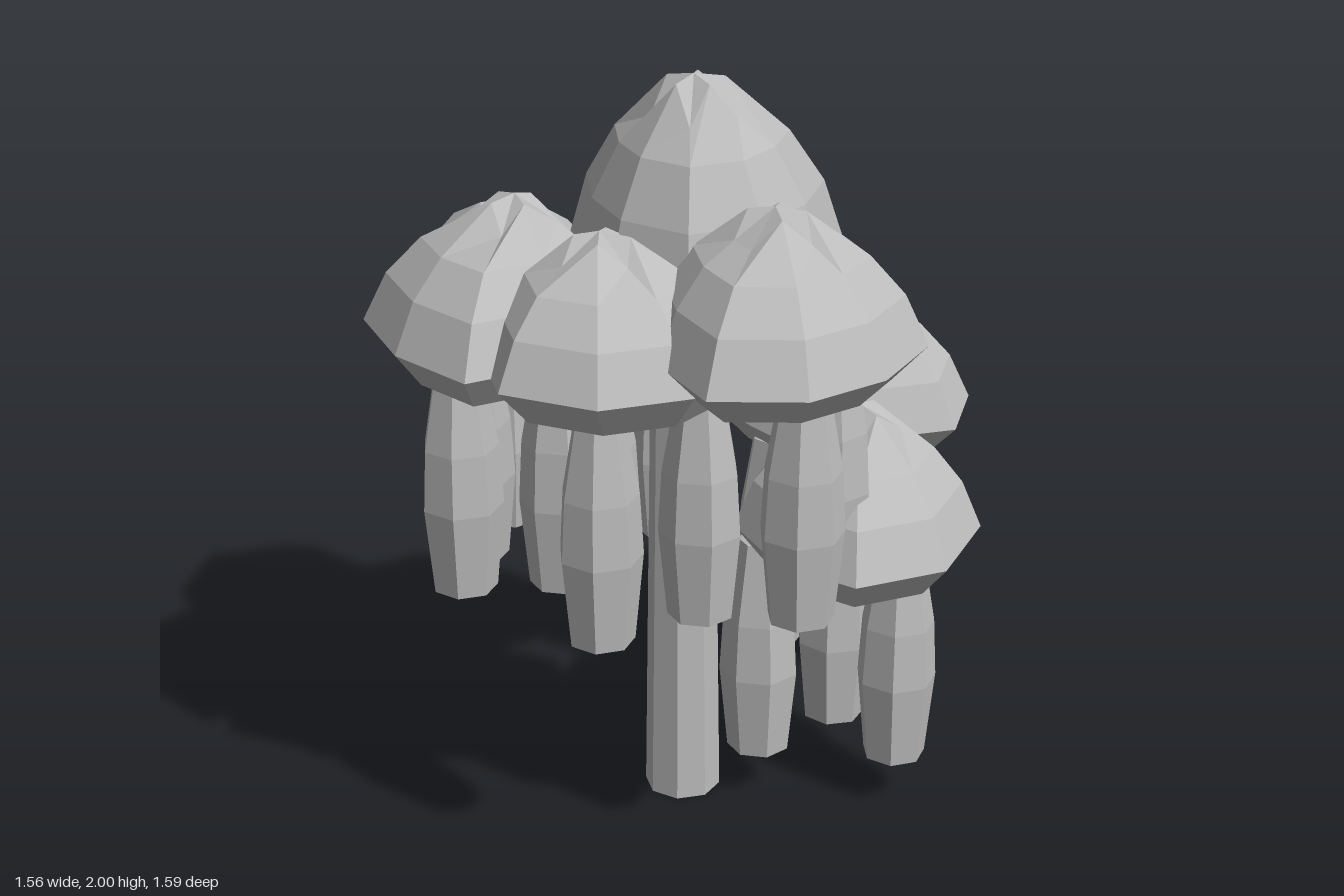
import * as THREE from 'three';

const grey = new THREE.MeshStandardMaterial({ color: 0xbcbcbc, flatShading: true });
grey.name = 'stoneGrey';

// Faceted cap: a wobbly oval rim, drawn in below to a flat base and above to a puckered peak
function capGeometry({ centre: [cx, cz], radius: [rx, rz], start, sides, base, brim = 0.095, wave = 1.9, peak }) {
  const [px, py, pz] = peak;
  const rimY = base + brim;
  const rise = py - rimY;
  // each ring: scale and height by corner, and how far it leans towards the peak
  const ring = (scale, y, lean) => Array.from({ length: sides }, (_, i) => {
    const angle = start + (i / sides) * Math.PI * 2;
    const k = scale(i) * (1 + 0.08 * Math.cos(wave * i));
    return [
      cx + Math.sin(angle) * rx * k + (px - cx) * lean,
      y(i),
      cz + Math.cos(angle) * rz * k + (pz - cz) * lean,
    ];
  });
  const rings = [
    ring(() => 0, () => base, 0),
    ring(() => 0.76, () => base, 0),
    ring(() => 1, () => rimY, 0),
    ring(() => 0.84, () => rimY + rise * 0.38, 0.15),
    ring(() => 0.61, () => rimY + rise * 0.66, 0.4),
    // alternating heights make the creases round the peak
    ring((i) => (i % 2 ? 0.2 : 0.34), (i) => rimY + rise * (i % 2 ? 0.97 : 0.8), 0.85),
    ring(() => 0, () => py, 1),
  ];
  const corners = [];
  const last = rings.length - 2;
  for (let r = 0; r <= last; r++) {
    for (let i = 0; i < sides; i++) {
      const j = (i + 1) % sides;
      const a = rings[r][i], b = rings[r][j], c = rings[r + 1][j], d = rings[r + 1][i];
      if (r > 0) corners.push(...a, ...b, ...c);
      if (r < last) corners.push(...a, ...c, ...d);
    }
  }
  const geometry = new THREE.BufferGeometry();
  geometry.setAttribute('position', new THREE.Float32BufferAttribute(corners, 3));
  geometry.computeVertexNormals();
  return geometry;
}

// Hanging stem: a narrow faceted column, widest below the middle
const stemGeometry = new THREE.LatheGeometry([
  [0, 0], [0.083, 0], [0.105, 0.23], [0.096, 0.39], [0.058, 0.61], [0, 0.63],
].map(([r, y]) => new THREE.Vector2(r, y)), 7);

// Each cap with the x, z places of its stems
const clusters = [
  { name: 'top', centre: [0.05, 0.05], radius: [0.35, 0.36], start: 0.05, sides: 10,
    base: 1.35, brim: 0.14, peak: [0.04, 2, 0.13], stems: [] },
  { name: 'frontRight', centre: [0.29, 0.44], radius: [0.33, 0.345], start: -0.37, sides: 9,
    base: 1.35, brim: 0.085, peak: [0.27, 1.77, 0.4], stems: [[0.36, 0.54], [0.4, 0.28]] },
  { name: 'frontMiddle', centre: [-0.1, 0.43], radius: [0.32, 0.32], start: -0.77, sides: 8,
    base: 1.28, peak: [-0.15, 1.68, 0.38], stems: [[-0.12, 0.59], [0.1, 0.42]] },
  { name: 'frontLeft', centre: [-0.43, 0.27], radius: [0.31, 0.335], start: -1.57, sides: 8,
    base: 1.28, wave: Math.PI, peak: [-0.39, 1.7, 0.2], stems: [[-0.51, 0.36], [-0.27, 0.3]] },
  { name: 'backLeft', centre: [-0.49, -0.2], radius: [0.32, 0.32], start: -2.2, sides: 7,
    base: 1.16, peak: [-0.49, 1.56, -0.14], stems: [[-0.57, -0.06], [-0.53, -0.29]] },
  { name: 'backMiddle', centre: [-0.05, -0.22], radius: [0.36, 0.32], start: -2.93, sides: 9,
    base: 1.07, peak: [-0.02, 1.48, -0.29], stems: [[-0.25, -0.15], [-0.12, -0.46]] },
  { name: 'backRight', centre: [0.37, -0.45], radius: [0.35, 0.33], start: 0.99, sides: 9,
    base: 0.84, peak: [0.36, 1.25, -0.45], stems: [[0.45, -0.57], [0.2, -0.55], [0.2, -0.29]] },
  { name: 'lowerRight', centre: [0.45, 0.1], radius: [0.3, 0.34], start: 1.69, sides: 8,
    base: 0.715, peak: [0.45, 1.13, 0.05], stems: [[0.57, 0.07], [0.21, 0.08], [0.39, -0.12]] },
];

export function createModel() {
  const model = new THREE.Group();
  model.name = 'mushroomCluster';

  // Tall central trunk under the top cap
  const trunk = new THREE.Mesh(new THREE.CylinderGeometry(0.08, 0.1, 1.4, 8), grey);
  trunk.name = 'trunk';
  trunk.position.set(0.005, 0.7, 0.075);
  model.add(trunk);

  // Caps, each with its own hanging stems
  for (const cluster of clusters) {
    const group = new THREE.Group();
    group.name = cluster.name + 'Cluster';
    const cap = new THREE.Mesh(capGeometry(cluster), grey);
    cap.name = cluster.name + 'Cap';
    group.add(cap);
    cluster.stems.forEach(([x, z], i) => {
      const stem = new THREE.Mesh(stemGeometry, grey);
      stem.name = cluster.name + 'Stem' + (i + 1);
      stem.position.set(x, cluster.base - 0.578, z);
      stem.rotation.y = i * 0.4;
      group.add(stem);
    });
    model.add(group);
  }
  return model;
}
